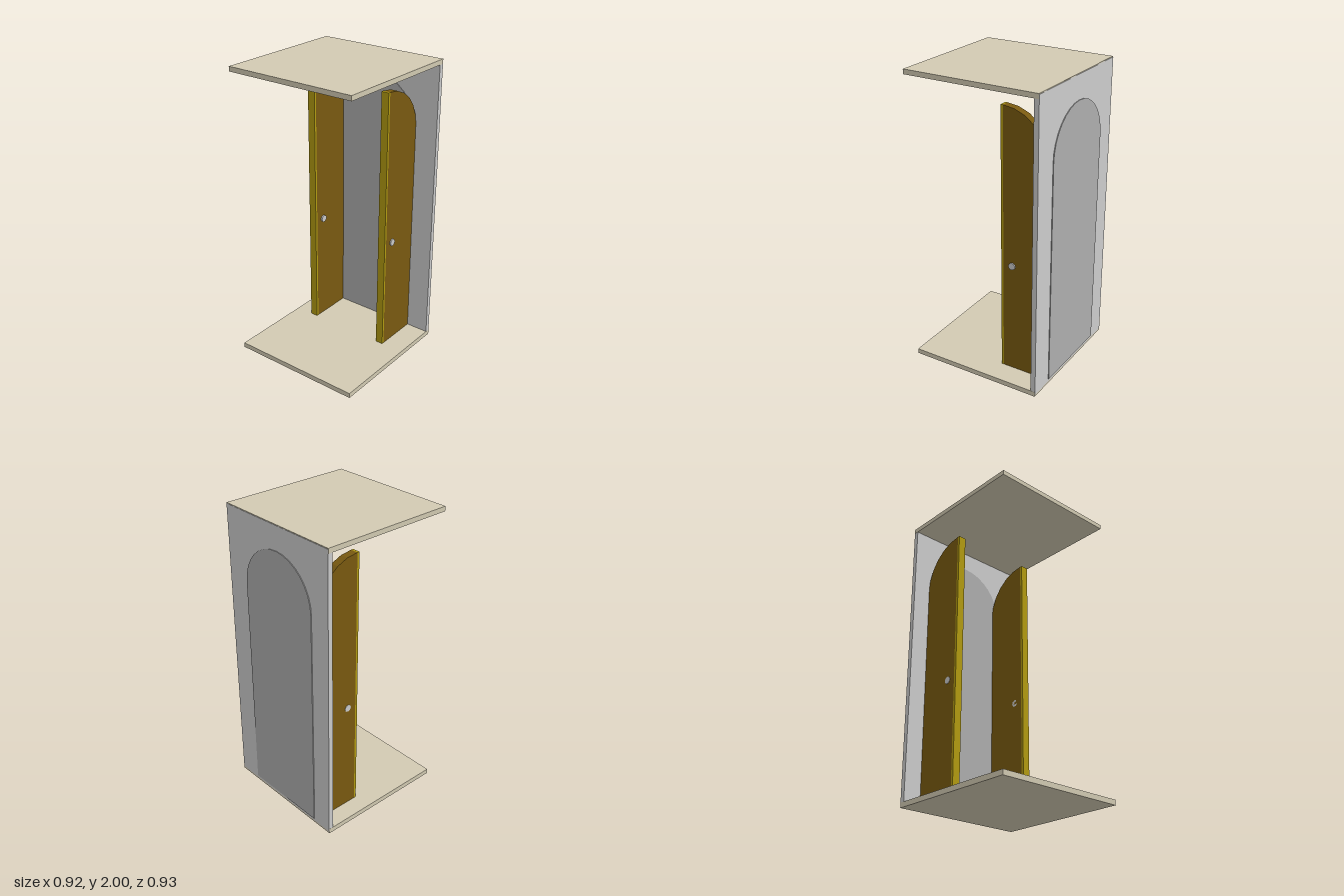
import * as THREE from 'three';

const mat = (color) => new THREE.MeshStandardMaterial({ color, flatShading: true });
const grey = mat(0xcccccc), darkGrey = mat(0xaeaeae), beige = mat(0xd2cab2);
const brown = mat(0x795a10), yellow = mat(0xb29b11);

function add(group, name, geometry, material) {
  const mesh = new THREE.Mesh(geometry, material);
  mesh.name = name;
  group.add(mesh);
  return mesh;
}

// Box given by its minimum and maximum corners
function box(group, name, material, [x0, y0, z0], [x1, y1, z1]) {
  const mesh = add(group, name, new THREE.BoxGeometry(x1 - x0, y1 - y0, z1 - z0), material);
  mesh.position.set((x0 + x1) / 2, (y0 + y1) / 2, (z0 + z1) / 2);
}

const BASE = 0.033, SPRING = 1.537, R = 0.301;

// Upright panel whose top is an arc from angle 0 to the given angle
function archedPanel(angle, segments, depth) {
  const pts = [];
  for (let i = 0; i <= segments; i++) {
    const a = (angle * i) / segments;
    pts.push(new THREE.Vector2(R * Math.cos(a), SPRING + R * Math.sin(a)));
  }
  pts.push(new THREE.Vector2(pts[segments].x, BASE), new THREE.Vector2(R, BASE));
  return new THREE.ExtrudeGeometry(new THREE.Shape(pts), { depth, bevelEnabled: false });
}

export function createModel() {
  const model = new THREE.Group();
  model.name = 'arched doorway';

  // Floor, roof and back wall
  box(model, 'floor', beige, [-0.459, 0, -0.461], [0.457, 0.034, 0.464]);
  box(model, 'roof', beige, [-0.459, 1.968, -0.461], [0.457, 2, 0.464]);
  box(model, 'backWall', grey, [-0.458, 0.015, -0.463], [0.456, 1.995, -0.43]);

  // Arched opening panel, showing on both faces of the wall
  const panel = add(model, 'archPanel', archedPanel(Math.PI, 16, 0.042), darkGrey);
  panel.position.set(-0.014, 0, -0.468);

  // Two half doors standing open, each with an edge strip and knobs
  const doors = [
    { name: 'rightDoor', x: -0.336, knobs: [-0.338, -0.272] },
    { name: 'leftDoor', x: 0.246, knobs: [0.246, 0.308] },
  ];
  const width = 0.053;
  for (const { name, x, knobs } of doors) {
    const door = new THREE.Group();
    door.name = name;
    model.add(door);

    const leaf = add(door, 'doorLeaf', archedPanel(Math.PI / 2, 6, width), brown);
    leaf.rotation.y = Math.PI / 2;
    leaf.position.set(x, 0, -0.131);

    box(door, 'edgeStrip', yellow, [x, BASE, -0.131], [x + width, SPRING + R, -0.115]);

    const knob = add(door, 'knob', new THREE.CylinderGeometry(0.024, 0.024, knobs[1] - knobs[0], 12), grey);
    knob.rotation.z = Math.PI / 2;
    knob.position.set((knobs[0] + knobs[1]) / 2, 0.795, -0.195);
  }
  return model;
}
